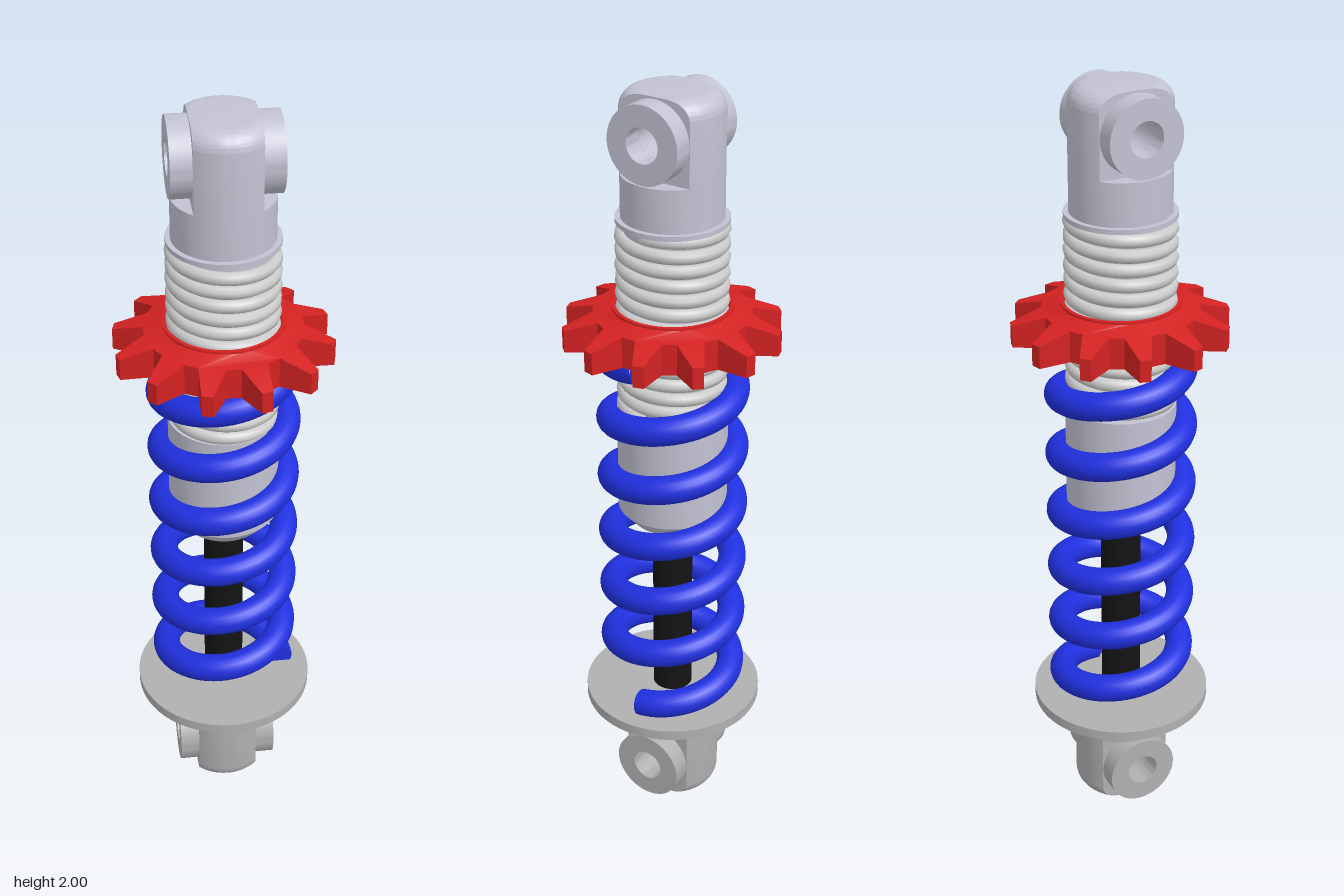
import * as THREE from 'three';
import { toCreasedNormals } from 'three/addons/utils/BufferGeometryUtils.js';

const paint = (color) => new THREE.MeshStandardMaterial({ color });
const silver = paint(0xc2c2d2), steel = paint(0xcccccc), grey = paint(0xb0b0b0);
const red = paint(0xd42222), blue = paint(0x2030e0), black = paint(0x141414);

function add(parent, name, geometry, material) {
  const mesh = new THREE.Mesh(geometry, material);
  mesh.name = name;
  parent.add(mesh);
  return mesh;
}

// Turned part from [radius, y] pairs, listed bottom to top along the outside
const turned = (points) => toCreasedNormals(
  new THREE.LatheGeometry(points.map(([r, y]) => new THREE.Vector2(r, y)), 64), 0.5);

// Tube along a helix; dir = 1 rises anticlockwise seen from above
function helix(radius, y0, y1, turns, thickness, dir, steps, sides) {
  class Helix extends THREE.Curve {
    getPoint(t, target = new THREE.Vector3()) {
      const a = t * turns * Math.PI * 2;
      return target.set(radius * Math.cos(a), y0 + (y1 - y0) * t, -dir * radius * Math.sin(a));
    }
  }
  return new THREE.TubeGeometry(new Helix(), Math.round(turns * steps), thickness, sides);
}

// Mounting eye: round neck, flattened head with a cross hole, and a boss on each flat.
// The tip is at y = 0 and the neck hangs below.
function mountingEye(name, material, headHeight, neckLength) {
  const eye = new THREE.Group();
  eye.name = name;
  const R = 0.125, flat = 0.08, fillet = 0.045, hole = 0.043, cy = 0.1 - headHeight;

  const outline = new THREE.Shape();
  outline.moveTo(-R, -headHeight);
  outline.lineTo(R, -headHeight);
  outline.lineTo(R, -fillet);
  outline.absarc(R - fillet, -fillet, fillet, 0, Math.PI / 2);
  outline.lineTo(fillet - R, 0);
  outline.absarc(fillet - R, -fillet, fillet, Math.PI / 2, Math.PI);
  outline.closePath();
  const bore = new THREE.Path();
  bore.absarc(0, cy, hole, 0, Math.PI * 2, true);
  outline.holes.push(bore);
  const head = new THREE.ExtrudeGeometry(outline,
    { depth: 2 * flat, steps: 20, bevelEnabled: false, curveSegments: 12 });
  head.translate(0, 0, -flat);
  // Round the slab in plan so it continues the neck cylinder
  const p = head.attributes.position;
  for (let i = 0; i < p.count; i++) {
    const u = p.getX(i), y = p.getY(i), d = p.getZ(i);
    if (Math.hypot(u, y - cy) < hole + 0.004) continue;
    p.setX(i, Math.sign(u) * Math.sqrt(Math.max(0, u * u - d * d)));
  }
  head.rotateY(Math.PI / 2);
  add(eye, 'eyeHead', toCreasedNormals(head, 0.6), material);

  const bottom = -headHeight - neckLength;
  add(eye, 'eyeNeck', turned([[0, bottom], [R, bottom], [R, -headHeight], [0, -headHeight]]), material);

  for (const side of [-1, 1]) {
    const boss = add(eye, side > 0 ? 'leftBoss' : 'rightBoss',
      turned([[hole, 0], [0.095, 0], [0.095, 0.052], [hole, 0.052], [hole, 0]]), material);
    boss.rotation.z = -side * Math.PI / 2;
    boss.position.set(side * (flat - 0.001), cy, 0);
  }
  return eye;
}

// Toothed adjuster nut with flared slots and a gently coned top
function adjusterNut() {
  const nut = new THREE.Group();
  nut.name = 'adjusterNut';
  const y0 = 1.365, y1 = 1.46, teeth = 12;
  const slot = [[-0.057, 0.266], [-0.018, 0.195], [0.018, 0.195], [0.057, 0.266]];
  const points = [];
  for (let i = 0; i < teeth; i++) {
    const a = -i * Math.PI * 2 / teeth, c = Math.cos(a), s = Math.sin(a);
    for (const [x, y] of slot) points.push(new THREE.Vector2(x * c - y * s, x * s + y * c));
  }
  const shape = new THREE.Shape(points);
  const bore = new THREE.Path();
  bore.absarc(0, 0, 0.149, 0, Math.PI * 2, true);
  shape.holes.push(bore);
  const gear = new THREE.ExtrudeGeometry(shape, { depth: y1 - y0, bevelEnabled: false, curveSegments: 36 });
  gear.rotateX(-Math.PI / 2);
  gear.translate(0, y0, 0);
  const p = gear.attributes.position;
  for (let i = 0; i < p.count; i++) {
    if (p.getY(i) < y1 - 0.01) continue;
    p.setY(i, y1 - 0.32 * (Math.hypot(p.getX(i), p.getZ(i)) - 0.149));
  }
  add(nut, 'toothedRing', toCreasedNormals(gear, 0.4), red);
  add(nut, 'nutCollar', turned([[0.14, y0], [0.15, y0], [0.15, 1.465], [0.14, 1.465], [0.14, y0]]), red);
  return nut;
}

export function createModel() {
  const model = new THREE.Group();
  model.name = 'coilOverShock';

  // End mounts
  const upperEye = mountingEye('upperEye', silver, 0.2, 0.11);
  upperEye.position.y = 2;
  const lowerEye = mountingEye('lowerEye', grey, 0.21, 0.1);
  lowerEye.rotation.x = Math.PI;
  model.add(upperEye, lowerEye);

  // Lower spring seat and piston rod
  add(model, 'springSeat', turned([[0, 0.3], [0.235, 0.3], [0.235, 0.328], [0, 0.328]]), grey);
  add(model, 'pistonRod', turned([[0, 0.32], [0.052, 0.32], [0.052, 0.9], [0, 0.9]]), black);

  // Damper body with chamfered lower end, and threaded upper sleeve
  add(model, 'damperBody', turned([[0, 0.86], [0.105, 0.86], [0.14, 0.9], [0.14, 1.19], [0, 1.19]]), silver);
  add(model, 'threadCore', turned([[0.118, 1.18], [0.118, 1.675], [0.138, 1.68], [0.138, 1.692], [0, 1.692]]), silver);
  add(model, 'thread', helix(0.123, 1.19, 1.675, 13, 0.017, -1, 48, 8), steel);

  model.add(adjusterNut());

  // Coil spring with closed ends
  const spring = new THREE.Group();
  spring.name = 'spring';
  const R = 0.157, wire = 0.036, low = 0.347, high = 1.347;
  add(spring, 'springCoil', helix(R, low, high, 6, wire, 1, 64, 20), blue);
  add(spring, 'springLowerEnd', new THREE.CircleGeometry(wire, 20), blue).position.set(R, low, 0);
  const end = add(spring, 'springUpperEnd', new THREE.CircleGeometry(wire, 20), blue);
  end.position.set(R, high, 0);
  end.rotation.y = Math.PI;
  model.add(spring);

  return model;
}
